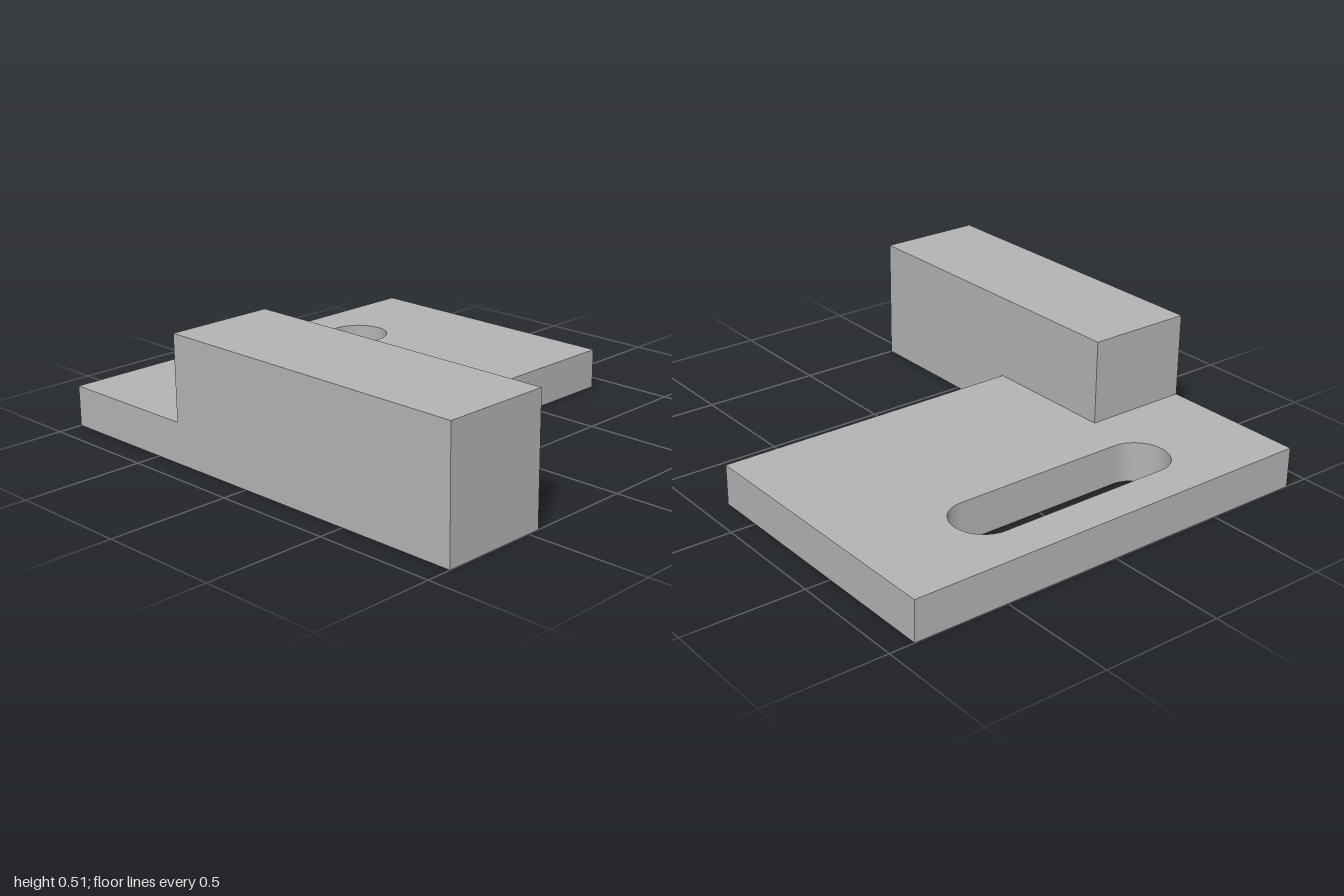
import * as THREE from 'three';
import { toCreasedNormals } from 'three/addons/utils/BufferGeometryUtils.js';

const HALF_DEPTH = 0.897;
const PLATE_HEIGHT = 0.167;
const BLOCK = { left: -0.38, right: 1, back: 0.447, height: 0.515 };

export function createModel() {
  const model = new THREE.Group();
  model.name = 'slottedBracket';

  const grey = new THREE.MeshStandardMaterial({ color: 0xb3b3b3 });
  grey.name = 'grey';

  // Plate outline drawn with y = -z, notched where the block sits
  const outline = new THREE.Shape([
    [-1, -HALF_DEPTH],
    [BLOCK.left, -HALF_DEPTH],
    [BLOCK.left, -BLOCK.back],
    [0.195, -BLOCK.back],
    [0.195, HALF_DEPTH],
    [-1, HALF_DEPTH],
  ].map(([x, y]) => new THREE.Vector2(x, y)));

  // Round-ended slot through the plate
  const slotX = -0.703, radius = 0.128, reach = 0.374;
  const slot = new THREE.Path();
  slot.absarc(slotX, reach, radius, 0, Math.PI, false);
  slot.absarc(slotX, -reach, radius, Math.PI, Math.PI * 2, false);
  slot.closePath();
  outline.holes.push(slot);

  const plateGeometry = new THREE.ExtrudeGeometry(outline, {
    depth: PLATE_HEIGHT, bevelEnabled: false, curveSegments: 32,
  });
  plateGeometry.rotateX(-Math.PI / 2);
  const plate = new THREE.Mesh(toCreasedNormals(plateGeometry, Math.PI / 6), grey);
  plate.name = 'slottedPlate';
  model.add(plate);

  // Tall bar along the front edge, overhanging the plate to the left
  const width = BLOCK.right - BLOCK.left;
  const depth = HALF_DEPTH - BLOCK.back;
  const block = new THREE.Mesh(new THREE.BoxGeometry(width, BLOCK.height, depth), grey);
  block.name = 'frontBlock';
  block.position.set(BLOCK.left + width / 2, BLOCK.height / 2, BLOCK.back + depth / 2);
  model.add(block);

  return model;
}
